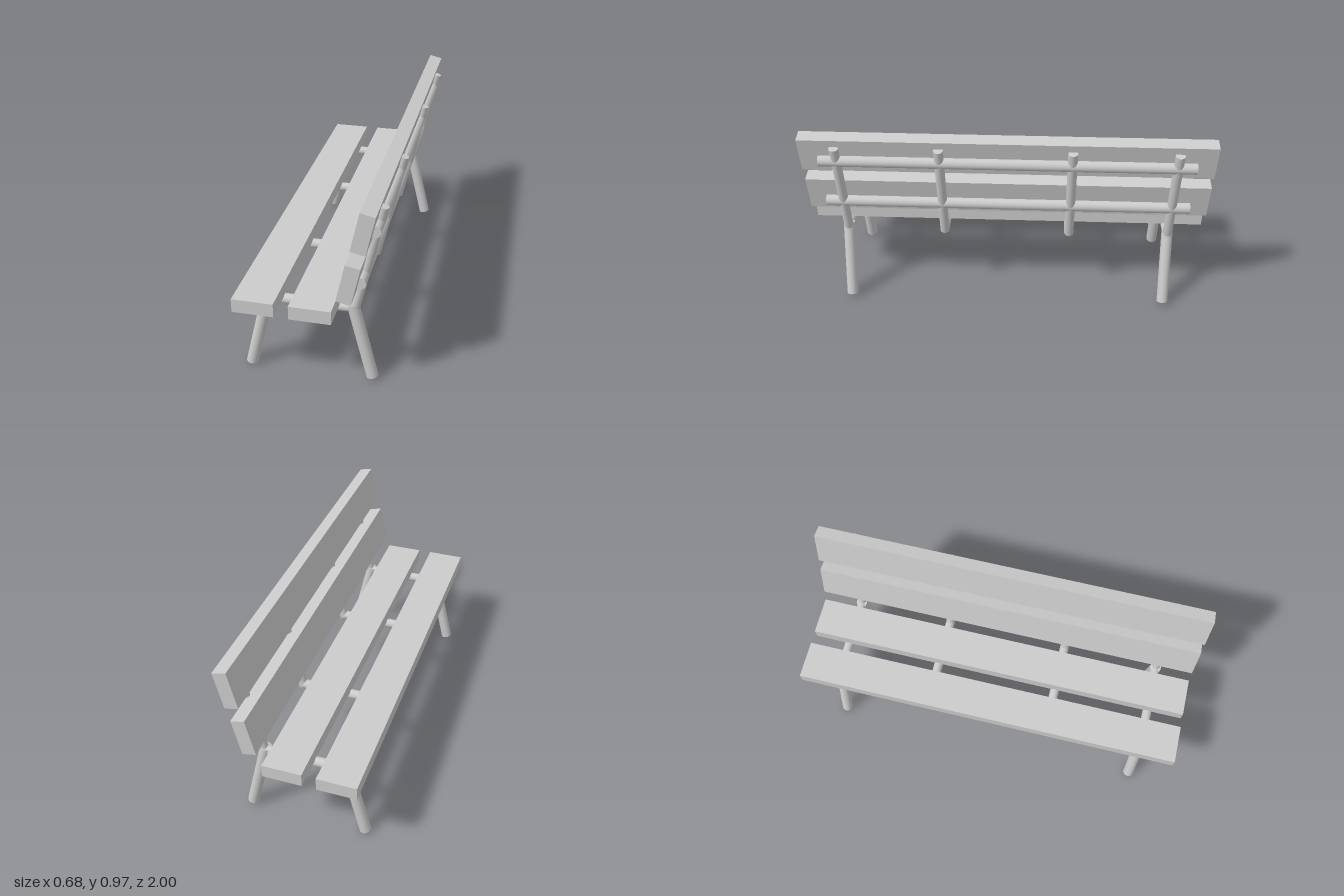
import * as THREE from 'three';

const material = new THREE.MeshStandardMaterial({ color: 0xcccccc });
const LEAN = 0.222; // backward tilt of the backrest

export function createModel() {
  const bench = new THREE.Group();
  bench.name = 'bench';

  // Round bar between two points
  function tube(name, from, to, radius) {
    const a = new THREE.Vector3(...from);
    const b = new THREE.Vector3(...to);
    const axis = b.clone().sub(a);
    const mesh = new THREE.Mesh(new THREE.CylinderGeometry(radius, radius, axis.length(), 32), material);
    mesh.position.copy(a).add(b).multiplyScalar(0.5);
    mesh.quaternion.setFromUnitVectors(new THREE.Vector3(0, 1, 0), axis.normalize());
    mesh.name = name;
    bench.add(mesh);
  }

  // Full-length wooden plank
  function plank(name, x, y, width, height, tilt = 0) {
    const mesh = new THREE.Mesh(new THREE.BoxGeometry(width, height, 2), material);
    mesh.position.set(x, y, 0);
    mesh.rotation.z = -tilt;
    mesh.name = name;
    bench.add(mesh);
  }

  // Seat and backrest planks
  plank('frontSeatPlank', -0.232, 0.439, 0.192, 0.067);
  plank('rearSeatPlank', 0.028, 0.439, 0.192, 0.067);
  plank('lowerBackPlank', 0.198, 0.618, 0.068, 0.19, LEAN);
  plank('upperBackPlank', 0.26, 0.872, 0.068, 0.19, LEAN);

  // Long rails behind the backrest
  tube('lowerBackRail', [0.229, 0.574, -0.908], [0.229, 0.574, 0.908], 0.029);
  tube('upperBackRail', [0.292, 0.838, -0.908], [0.292, 0.838, 0.908], 0.029);

  // Four support frames; only the outer two have legs
  for (const z of [-0.82, -0.317, 0.323, 0.823]) {
    const outer = Math.abs(z) > 0.5;
    tube('seatBar', [outer ? -0.225 : -0.252, 0.389, z], [0.19, 0.389, z], 0.024);
    tube('backPost', [0.188, 0.378, z], [0.314, 0.918, z], 0.0235);
    if (outer) {
      tube('frontLeg', [-0.311, 0.0065, z], [-0.214, 0.408, z], 0.0285);
      tube('rearLeg', [0.274, 0.0165, z], [0.18, 0.409, z], 0.0285);
    } else {
      // Rounded elbow where bar and post meet
      const elbow = new THREE.Mesh(new THREE.SphereGeometry(0.024, 24, 16), material);
      elbow.position.set(0.19, 0.389, z);
      elbow.name = 'elbow';
      bench.add(elbow);
    }
  }

  return bench;
}
